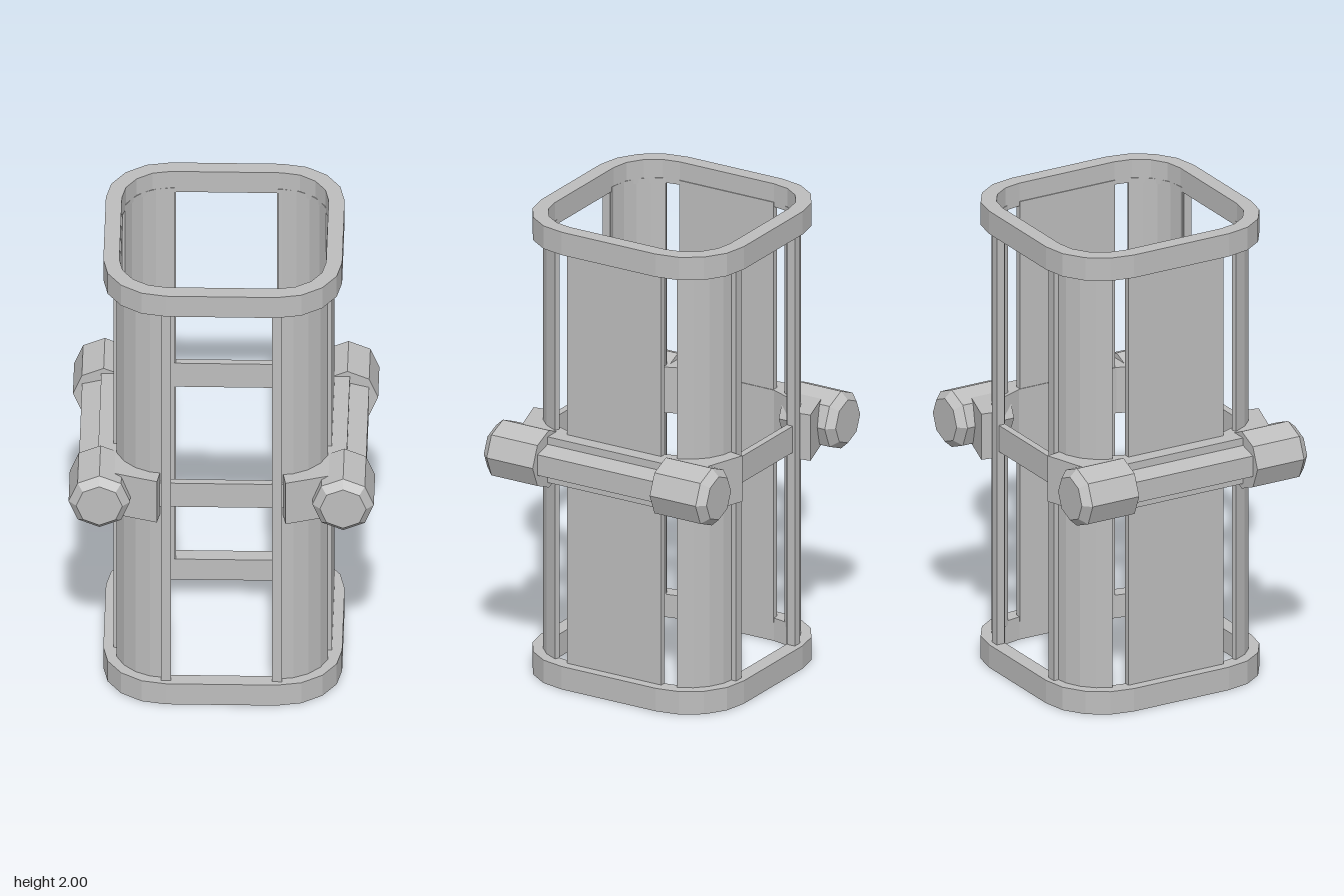
import * as THREE from 'three';

const grey = new THREE.MeshStandardMaterial({ color: 0xbdbdbd });
grey.name = 'plain grey';

// Points along a corner arc, angles in degrees
function arc(cx, cz, r, from, to, steps) {
  const pts = [];
  for (let i = 0; i <= steps; i++) {
    const a = THREE.MathUtils.degToRad(from + (to - from) * i / steps);
    pts.push([cx + r * Math.cos(a), cz + r * Math.sin(a)]);
  }
  return pts;
}

// Rounded square outline in plan, given its half width
function roundedSquare(half, c) {
  const r = half - c;
  return [
    ...arc(c, c, r, 0, 90, 4), ...arc(-c, c, r, 90, 180, 4),
    ...arc(-c, -c, r, 180, 270, 4), ...arc(c, -c, r, 270, 360, 4),
  ];
}

const vectors = (pts) => pts.map(([x, z]) => new THREE.Vector2(x, z));

// Raise a plan outline (x, z) from y0 to y1
function raise(name, pts, y0, y1, hole) {
  const shape = new THREE.Shape(vectors(pts));
  if (hole) shape.holes.push(new THREE.Path(vectors(hole)));
  const geo = new THREE.ExtrudeGeometry(shape, { depth: y1 - y0, bevelEnabled: false });
  geo.rotateX(Math.PI / 2).translate(0, y1, 0);
  const mesh = new THREE.Mesh(geo, grey);
  mesh.name = name;
  return mesh;
}

function box(name, x0, x1, y0, y1, z0, z1) {
  const mesh = new THREE.Mesh(new THREE.BoxGeometry(x1 - x0, y1 - y0, z1 - z0), grey);
  mesh.position.set((x0 + x1) / 2, (y0 + y1) / 2, (z0 + z1) / 2);
  mesh.name = name;
  return mesh;
}

// Eight-sided knob along z with a chamfered outer end
function knob(x, side) {
  const profile = [[0, 0.28], [0.125, 0.28], [0.125, 0.5], [0.094, 0.533], [0, 0.533]];
  const lathe = new THREE.LatheGeometry(vectors(profile), 8).rotateX(Math.PI / 2);
  const geo = lathe.toNonIndexed();
  geo.computeVertexNormals();
  const mesh = new THREE.Mesh(geo, grey);
  mesh.position.set(x, 1, 0);
  if (side < 0) mesh.rotation.y = Math.PI;
  mesh.name = 'knob';
  return mesh;
}

export function createModel() {
  const model = new THREE.Group();
  model.name = 'frame';

  // End rings
  const outer = roundedSquare(0.485, 0.225);
  const inner = roundedSquare(0.42, 0.225);
  model.add(raise('bottomRing', outer, 0, 0.1, inner));
  model.add(raise('topRing', outer, 1.9, 2, inner));

  // Corner posts with a raised edge strip, and knobs
  const post = [
    ...arc(0.225, 0.225, 0.215, 18, 90, 4), [0.21, 0.44], [0.21, 0.418],
    ...arc(0.225, 0.225, 0.193, 90, 18, 4),
  ];
  for (const sx of [1, -1]) {
    for (const sz of [1, -1]) {
      model.add(raise('cornerPost', post.map(([x, z]) => [x * sx, z * sz]), 0.08, 1.92));
      const strip = [[0.205, 0.425], [0.245, 0.425], [0.245, 0.46], [0.205, 0.46]];
      model.add(raise('edgeStrip', strip.map(([x, z]) => [x * sx, z * sz]), 0.08, 1.92));
      model.add(knob(0.495 * sx, sz));
    }

    // Side panel
    const panel = box('sidePanel', 0.416, 0.443, 0.08, 1.92, -0.225, 0.225);
    panel.position.x *= sx;
    model.add(panel);

    // Clamp wrapping the side and both corners
    const half = [[0.413, 0.23], [0.37, 0.335], [0.247, 0.415], [0.261, 0.5], [0.505, 0.42]];
    const clamp = [...half, ...half.map(([x, z]) => [x, -z]).reverse()];
    model.add(raise('sideClamp', clamp.map(([x, z]) => [x * sx, z]), 0.9, 1.1));

    // Tapered bar between the knobs
    const section = [[0.49, -0.068], [0.583, -0.045], [0.583, 0.045], [0.49, 0.068]];
    const barGeo = new THREE.ExtrudeGeometry(
      new THREE.Shape(vectors(section.map(([x, y]) => [x * sx, y + 1.003]))),
      { depth: 0.6, bevelEnabled: false });
    const bar = new THREE.Mesh(barGeo.translate(0, 0, -0.3), grey);
    bar.name = 'sideBar';
    model.add(bar);
  }

  // Cross bars at front and back
  model.add(box('frontCrossBar', -0.26, 0.26, 0.945, 1.06, 0.42, 0.45));
  model.add(box('backCrossBar', -0.26, 0.26, 0.945, 1.06, -0.45, -0.42));

  return model;
}
